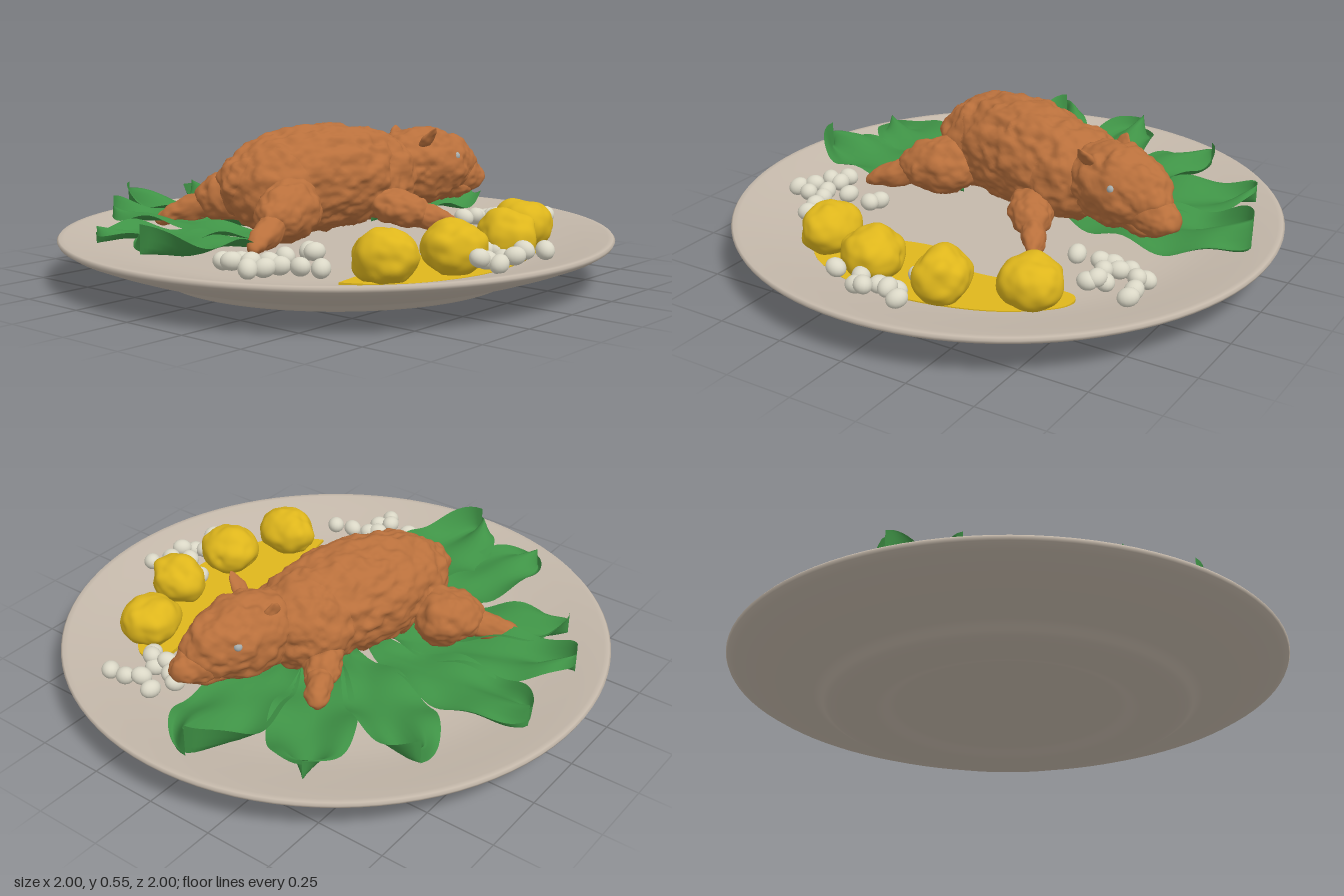
import * as THREE from 'three';
import { mergeVertices } from 'three/addons/utils/BufferGeometryUtils.js';

const mat = (name, color, side = THREE.FrontSide) => {
  const m = new THREE.MeshStandardMaterial({ color, side });
  m.name = name;
  return m;
};

// Smooth 3D value noise in -1..1
const hash = (x, y, z) => {
  const s = Math.sin(x * 127.1 + y * 311.7 + z * 74.7) * 43758.5453;
  return (s - Math.floor(s)) * 2 - 1;
};
function noise(x, y, z) {
  const i = Math.floor(x), j = Math.floor(y), k = Math.floor(z);
  const f = t => t * t * (3 - 2 * t), L = THREE.MathUtils.lerp;
  const u = f(x - i), v = f(y - j), w = f(z - k);
  const row = (b, c) => L(hash(i, b, c), hash(i + 1, b, c), u);
  return L(L(row(j, k), row(j + 1, k), v), L(row(j, k + 1), row(j + 1, k + 1), v), w);
}

// Bumpy ellipsoid stretched from a to b; taper widens (+) or narrows (-) the b end
function blob(name, material, a, b, rw, rh, { amp = 0.011, freq = 27, detail = 14, taper = 0 } = {}) {
  let g = new THREE.IcosahedronGeometry(1, detail);
  g.deleteAttribute('uv');
  g.deleteAttribute('normal');
  g = mergeVertices(g, 1e-5);
  const A = new THREE.Vector3(...a), B = new THREE.Vector3(...b);
  const half = A.distanceTo(B) / 2, mid = A.clone().add(B).multiplyScalar(0.5);
  const turn = new THREE.Matrix4().lookAt(B, A, new THREE.Vector3(0, 1, 0));
  const p = g.attributes.position, v = new THREE.Vector3(), n = new THREE.Vector3();
  for (let i = 0; i < p.count; i++) {
    v.fromBufferAttribute(p, i);
    n.set(v.x / rw, v.y / rh, v.z / half).normalize();
    const t = 1 + taper * v.z;
    v.set(v.x * rw * t, v.y * rh * t, v.z * half);
    v.applyMatrix4(turn).add(mid);
    n.transformDirection(turn);
    const d = noise(v.x * freq, v.y * freq, v.z * freq)
      + 0.5 * noise(v.x * freq * 2.1 + 9, v.y * freq * 2.1, v.z * freq * 2.1);
    v.addScaledVector(n, d * amp);
    p.setXYZ(i, v.x, v.y, v.z);
  }
  g.computeVertexNormals();
  const mesh = new THREE.Mesh(g, material);
  mesh.name = name;
  return mesh;
}

// Ruffled leaf lying from base to tip, with a round end that ripples upwards
function leaf(base, tip, width, lift, seed, material) {
  const NU = 32, NV = 14, pos = [], idx = [];
  const dx = tip[0] - base[0], dz = tip[1] - base[1], len = Math.hypot(dx, dz);
  for (let i = 0; i <= NU; i++) {
    const u = 1 - (1 - i / NU) ** 1.5;
    const w = width * Math.sqrt(Math.max(0, Math.sin(Math.PI * u ** 1.6)));
    for (let j = 0; j <= NV; j++) {
      const v = j / NV * 2 - 1;
      const x = base[0] + dx * u - dz / len * w * v;
      const z = base[1] + dz * u + dx / len * w * v;
      const edge = 0.02 * Math.abs(v) * Math.sin(u * 15 + seed + Math.sign(v) * 0.8);
      const y = 0.167 + 0.012 * u + 0.018 * v * v + edge
        + lift * u ** 3 * (0.5 + 0.5 * Math.sin(v * 4.5 + seed));
      pos.push(x, y, z);
      if (i < NU && j < NV) {
        const a = i * (NV + 1) + j, b = a + NV + 1;
        idx.push(a, a + 1, b, b, a + 1, b + 1);
      }
    }
  }
  const g = new THREE.BufferGeometry();
  g.setAttribute('position', new THREE.Float32BufferAttribute(pos, 3));
  g.setIndex(idx);
  g.computeVertexNormals();
  const mesh = new THREE.Mesh(g, material);
  mesh.name = 'leaf';
  return mesh;
}

export function createModel() {
  const model = new THREE.Group();
  model.name = 'roastPlatter';
  const plateMat = mat('stoneware', 0xc4b8aa), meat = mat('roastedMeat', 0xb9703c);
  const green = mat('leafGreen', 0x3f9346, THREE.DoubleSide), yellow = mat('mustardYellow', 0xdeb61c);
  const cream = mat('beanCream', 0xdad7c6), grey = mat('eyeGrey', 0xa6adad);
  const group = name => {
    const g = new THREE.Group();
    g.name = name;
    model.add(g);
    return g;
  };

  // Plate: underside with foot ring, rim, shallow dish
  const profile = [[0, 0.022], [0.4, 0.022], [0.425, 0.018], [0.44, 0.006], [0.47, 0], [0.6, 0],
    [0.635, 0.005], [0.655, 0.016], [0.668, 0.03], [0.69, 0.039], [0.74, 0.051], [0.82, 0.074], [0.9, 0.102],
    [0.97, 0.13], [0.995, 0.146], [1, 0.157], [0.993, 0.165], [0.975, 0.165], [0.9, 0.147], [0.8, 0.124],
    [0.74, 0.112], [0.68, 0.104], [0.6, 0.1], [0, 0.1]];
  const plate = new THREE.Mesh(
    new THREE.LatheGeometry(profile.map(p => new THREE.Vector2(...p)), 96), plateMat);
  plate.name = 'plate';
  model.add(plate);

  // Bed of leaves: base, tip, half width, tip lift
  const leaves = group('leaves');
  [
    [[-0.2, -0.01], [-0.87, -0.08], 0.172, 0.07],
    [[-0.15, -0.08], [-0.8, -0.38], 0.155, 0.06],
    [[-0.1, -0.1], [-0.44, -0.72], 0.13, 0.06],
    [[-0.02, -0.15], [-0.24, -0.86], 0.135, 0.075],
    [[0.04, -0.15], [0.11, -0.88], 0.14, 0.08],
    [[0.1, -0.12], [0.49, -0.71], 0.14, 0.07],
    [[0.15, -0.08], [0.78, -0.46], 0.15, 0.06],
    [[0.2, 0.0], [0.915, -0.09], 0.172, 0.115],
  ].forEach(([b, t, w, l], i) => leaves.add(leaf(b, t, w, l, i * 1.9, green)));

  // Roast: torso, head, ears, eyes
  const roast = group('roast');
  const part = (...args) => roast.add(blob(...args));
  part('body', meat, [-0.37, 0.34, -0.22], [0.4, 0.35, 0.02], 0.195, 0.195, { detail: 30, amp: 0.012 });
  part('shoulders', meat, [0.05, 0.33, -0.11], [0.42, 0.34, 0.01], 0.185, 0.17, { detail: 20 });
  part('rump', meat, [-0.36, 0.32, -0.2], [0.05, 0.34, -0.08], 0.175, 0.17, { detail: 20 });
  part('head', meat, [0.27, 0.37, -0.03], [0.69, 0.35, 0.11], 0.135, 0.145, { detail: 20, taper: -0.1 });
  part('snout', meat, [0.5, 0.33, 0.05], [0.73, 0.3, 0.13], 0.08, 0.072, { amp: 0.009 });
  part('chin', meat, [0.46, 0.28, 0.04], [0.68, 0.265, 0.11], 0.075, 0.045, { amp: 0.009 });
  part('ear', meat, [0.39, 0.43, 0.09], [0.38, 0.518, 0.165], 0.03, 0.015, { amp: 0.004, detail: 8, taper: -0.3 });
  part('ear', meat, [0.43, 0.43, -0.045], [0.44, 0.51, -0.075], 0.03, 0.015, { amp: 0.004, detail: 8, taper: -0.3 });
  for (const at of [[0.508, 0.4, 0.167], [0.585, 0.4, -0.04]]) {
    const eye = new THREE.Mesh(new THREE.SphereGeometry(0.016, 16, 12), grey);
    eye.position.set(...at);
    eye.name = 'eye';
    roast.add(eye);
  }

  // Legs: thick upper part, thin shank
  [
    ['hindLegRight', [-0.09, 0.27, -0.28], [-0.24, 0.262, -0.485], 0.112, 0.1, [-0.33, 0.168, -0.61], 0.048, -0.2],
    ['hindLegLeft', [-0.14, 0.28, -0.02], [-0.44, 0.25, 0.07], 0.1, 0.105, [-0.555, 0.175, 0.115], 0.05, -0.2],
    ['foreLegLeft', [0.12, 0.26, 0.06], [0.26, 0.205, 0.25], 0.075, 0.065, [0.31, 0.17, 0.33], 0.044, -0.15],
    ['foreLegRight', [0.22, 0.28, -0.13], [0.42, 0.225, -0.25], 0.07, 0.06, [0.495, 0.21, -0.29], 0.048, -0.1],
  ].forEach(([name, a, b, rw, rh, c, r, taper]) => {
    const mid = a.map((v, i) => v + (b[i] - v) * 0.6);
    part(name, meat, a, b, rw, rh, { taper: -0.15, amp: 0.01 });
    part(name + 'Shank', meat, mid, c, r, r, { taper, detail: 10, amp: 0.008 });
  });

  // Sauce pool, flush with the dish at its outer edge
  const outline = [[-0.32, 0.42], [-0.2, 0.37], [-0.08, 0.35], [0.02, 0.38], [0.1, 0.445],
    [0.3, 0.43], [0.5, 0.41], [0.52, 0.5], [0.4, 0.61], [0.25, 0.68], [0.05, 0.725], [-0.15, 0.725],
    [-0.35, 0.66], [-0.47, 0.55], [-0.52, 0.46]].map(p => new THREE.Vector2(...p));
  const shape = new THREE.Shape().moveTo(-0.52, 0.46).splineThru(outline);
  const sauceGeo = new THREE.ExtrudeGeometry(shape, { depth: 0.02, bevelEnabled: false, curveSegments: 60 });
  const sauce = new THREE.Mesh(sauceGeo.rotateX(Math.PI / 2), yellow);
  sauce.position.y = 0.114;
  sauce.name = 'sauce';
  model.add(sauce);

  // Potatoes: x, z, half width, half depth
  const potatoes = group('potatoes');
  for (const [x, z, rx, rz] of [[-0.39, 0.54, 0.1, 0.115], [-0.14, 0.635, 0.108, 0.11],
    [0.15, 0.645, 0.092, 0.112], [0.415, 0.53, 0.112, 0.105]]) {
    potatoes.add(blob('potato', yellow, [x, 0.19, z - rz], [x, 0.19, z + rz], rx, 0.094,
      { amp: 0.011, freq: 15, detail: 12 }));
  }

  // Beans: scattered in three clusters
  const beans = group('beans');
  const beanGeo = new THREE.SphereGeometry(0.033, 16, 12).scale(1.15, 0.95, 0.98);
  const spots = [
    [[-0.665, 0.09], [-0.695, 0.16], [-0.65, 0.16], [-0.75, 0.285], [-0.7, 0.25], [-0.69, 0.3], [-0.63, 0.265],
      [-0.54, 0.25], [-0.41, 0.235], [-0.425, 0.275], [-0.62, 0.3], [-0.6, 0.37], [-0.58, 0.44]],
    [[-0.19, 0.77], [-0.11, 0.74], [-0.03, 0.75], [0.04, 0.75], [-0.1, 0.785], [-0.05, 0.81], [0.035, 0.79],
      [0.1, 0.83], [0.045, 0.63], [0.075, 0.66]],
    [[0.435, 0.26], [0.52, 0.25], [0.56, 0.235], [0.62, 0.23], [0.565, 0.315], [0.575, 0.38], [0.6, 0.27],
      [0.7, 0.27], [0.69, 0.32], [0.71, 0.38], [0.72, 0.44], [0.55, 0.4], [0.59, 0.35]],
  ].flat();
  spots.forEach(([x, z], i) => {
    const bean = new THREE.Mesh(beanGeo, cream);
    bean.position.set(x, 0.168 + 0.018 * hash(i, 2, 3), z);
    bean.rotation.set(0.4 * hash(i, 5, 1), i * 2.4, 0.4 * hash(i, 1, 7));
    bean.name = 'bean';
    beans.add(bean);
  });
  return model;
}
